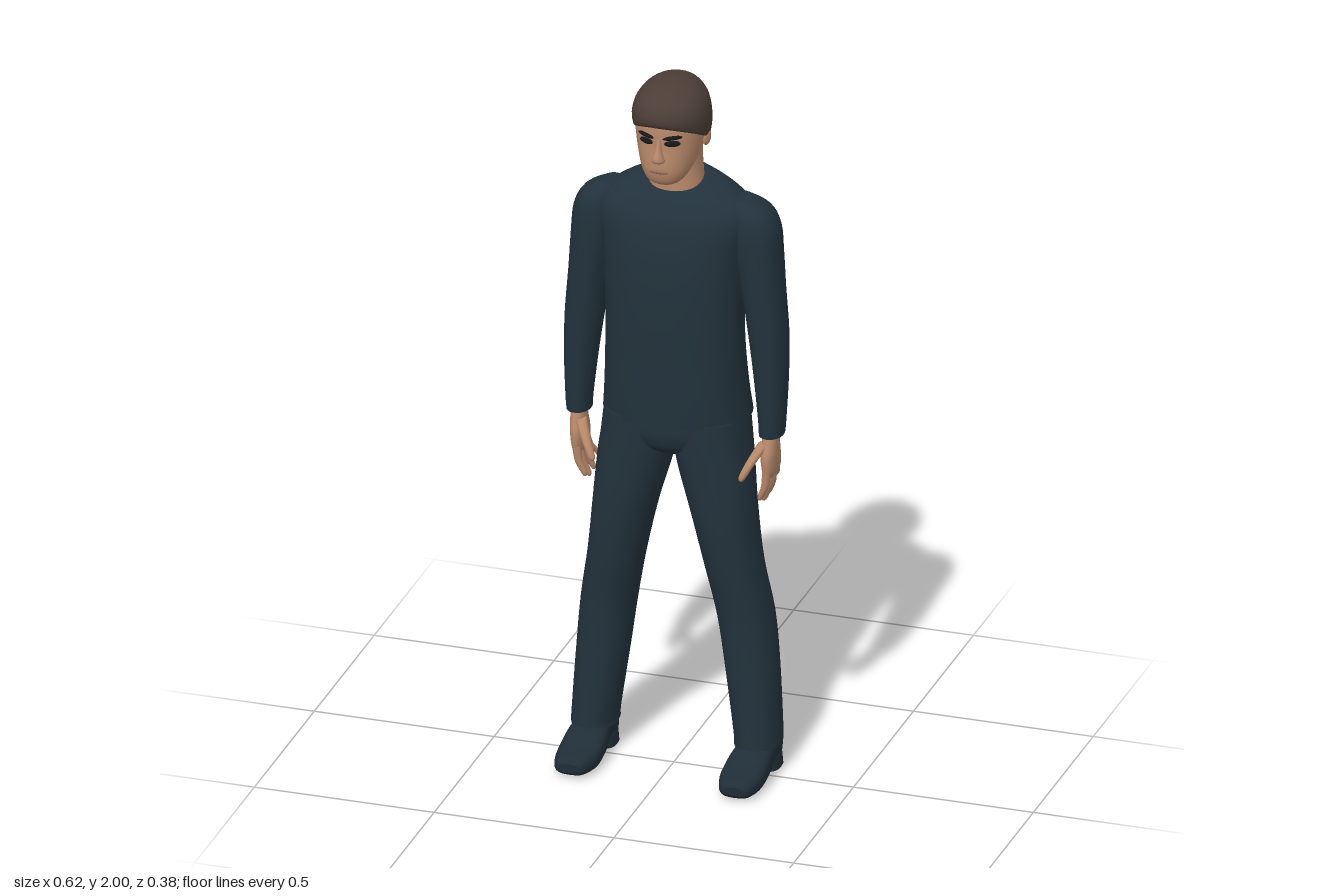
import * as THREE from 'three';

const material = (name, color) => Object.assign(new THREE.MeshStandardMaterial({ color }), { name });

// Smooth skin through cross-sections [t, a0, a1, b0, b1, tilt], with capped ends.
// axis 'y': a = x, b = z, sections run upward. axis 'z': a = x, b = y, sections run backward.
function loft(sections, { p = 2.2, sides = 28, steps = 4, axis = 'y' } = {}) {
  const rows = [];
  const at = (i) => sections[Math.max(0, Math.min(sections.length - 1, i))];
  for (let i = 0; i < sections.length - 1; i++) {
    for (let k = i ? 1 : 0; k <= steps; k++) {
      const u = k / steps;
      rows.push([0, 1, 2, 3, 4, 5].map((c) => {
        const [q0, q1, q2, q3] = [-1, 0, 1, 2].map((d) => at(i + d)[c] ?? 0);
        return q1 + 0.5 * u * (q2 - q0 + u * (2 * q0 - 5 * q1 + 4 * q2 - q3 + u * (3 * (q1 - q2) + q3 - q0)));
      }));
    }
  }
  const pos = [], index = [];
  const put = (a, b, t) => pos.push(...(axis === 'y' ? [a, t, b] : [a, b, t]));
  const bend = (v) => Math.sign(v) * Math.abs(v) ** (2 / p);
  const ring = ([t, a0, a1, b0, b1, tilt]) => {
    for (let j = 0; j < sides; j++) {
      const w = (j / sides) * Math.PI * 2;
      const a = (a0 + a1) / 2 + ((a1 - a0) / 2) * bend(Math.cos(w));
      const b = (b0 + b1) / 2 + ((b1 - b0) / 2) * bend(Math.sin(w));
      put(a, b, t + tilt * b);
    }
  };
  rows.forEach(ring);
  for (let i = 0; i < rows.length - 1; i++) {
    for (let j = 0; j < sides; j++) {
      const a = i * sides + j, b = i * sides + ((j + 1) % sides);
      index.push(a, a + sides, b, b, a + sides, b + sides);
    }
  }
  [rows[0], rows[rows.length - 1]].forEach((row, end) => {
    const start = pos.length / 3;
    ring(row);
    const mid = (row[3] + row[4]) / 2;
    put((row[1] + row[2]) / 2, mid, row[0] + row[5] * mid);
    for (let j = 0; j < sides; j++) {
      const a = start + j, b = start + ((j + 1) % sides), c = start + sides;
      index.push(...(end ? [a, c, b] : [a, b, c]));
    }
  });
  const g = new THREE.BufferGeometry();
  g.setAttribute('position', new THREE.Float32BufferAttribute(pos, 3));
  g.setIndex(index);
  g.computeVertexNormals();
  return g;
}

// Section helpers: centred on x, one side of the body, and a round stick
const centred = (list) => list.map(([t, h, b0, b1, tilt]) => [t, -h, h, b0, b1, tilt ?? 0]);
const onSide = (s, list) => list.map(([t, i, o, b0, b1]) => (s > 0 ? [t, i, o, b0, b1] : [t, -o, -i, b0, b1]));
const stick = (s, list) => loft(list.map(([x, y, z, r]) => [y, s * x - r, s * x + r, z - r, z + r]), { p: 2, sides: 10 });

export function createModel() {
  const cloth = material('dark cloth', 0x22323c);
  const leather = material('shoe leather', 0x202e37);
  const skin = material('skin', 0xb98a6b);
  const hair = material('hair', 0x4c3e37);
  const lip = material('lips', 0x9c6c58);
  const dark = material('eye shadow', 0x17181a);

  const model = new THREE.Group();
  model.name = 'standingMan';
  const add = (name, geometry, mat, parent = model) => {
    const mesh = new THREE.Mesh(geometry, mat);
    mesh.name = name;
    parent.add(mesh);
    return mesh;
  };
  const blob = (name, mat, [x, y, z], scale, turn = 0, roll = 0) => {
    const mesh = add(name, new THREE.SphereGeometry(1, 16, 12), mat);
    mesh.position.set(x, y, z);
    mesh.scale.set(...scale);
    mesh.rotation.set(0, turn, roll);
    return mesh;
  };

  // Sweater body, flared at the hem, with a sloping neckline
  add('sweaterBody', loft(centred([
    [1.02, 0.2, -0.185, 0.11], [1.1, 0.193, -0.168, 0.115], [1.2, 0.188, -0.15, 0.118],
    [1.3, 0.186, -0.145, 0.122], [1.42, 0.19, -0.152, 0.122], [1.52, 0.2, -0.158, 0.114],
    [1.6, 0.215, -0.152, 0.096], [1.645, 0.195, -0.138, 0.075], [1.675, 0.145, -0.122, 0.06, -0.1],
    [1.692, 0.085, -0.102, 0.05, -0.25],
  ]), { p: 2.3, sides: 40 }), cloth);

  // Trouser seat
  add('trouserSeat', loft(centred([
    [0.915, 0.07, -0.07, 0.04], [0.94, 0.16, -0.125, 0.075], [0.97, 0.193, -0.147, 0.09],
    [1.0, 0.196, -0.157, 0.095], [1.04, 0.19, -0.16, 0.095],
  ]), { sides: 36 }), cloth);

  // Neck and head
  add('neck', loft(centred([
    [1.63, 0.078, -0.092, 0.042], [1.7, 0.073, -0.092, 0.043], [1.75, 0.07, -0.09, 0.045], [1.81, 0.07, -0.085, 0.05],
  ])), skin);
  add('head', loft(centred([
    [1.722, 0.025, 0.045, 0.095], [1.735, 0.047, 0.02, 0.115], [1.76, 0.065, -0.025, 0.126],
    [1.79, 0.077, -0.065, 0.129], [1.84, 0.088, -0.085, 0.127], [1.89, 0.092, -0.092, 0.128],
    [1.94, 0.085, -0.085, 0.118], [1.975, 0.05, -0.05, 0.08],
  ])), skin);
  add('hairCap', loft(centred([
    [1.835, 0.085, -0.085, 0.126, 0.5], [1.842, 0.097, -0.102, 0.137, 0.48], [1.89, 0.103, -0.112, 0.14, 0.28],
    [1.94, 0.095, -0.106, 0.13, 0.1], [1.975, 0.072, -0.08, 0.106], [1.993, 0.04, -0.045, 0.07], [2.0, 0.008, 0.0, 0.02],
  ]), { p: 2.1, sides: 32 }), hair);

  // Face details
  add('nose', loft(centred([
    [1.798, 0.009, 0.115, 0.133], [1.806, 0.018, 0.11, 0.148], [1.818, 0.015, 0.11, 0.15],
    [1.84, 0.009, 0.11, 0.141], [1.868, 0.007, 0.11, 0.131],
  ]), { p: 2, sides: 14 }), skin);
  blob('mouth', lip, [0, 1.773, 0.127], [0.026, 0.006, 0.005]);
  for (const s of [1, -1]) {
    const side = s > 0 ? 'left' : 'right';
    blob(side + 'Eye', dark, [s * 0.036, 1.857, 0.12], [0.022, 0.009, 0.006], s * 0.4);
    blob(side + 'Brow', dark, [s * 0.037, 1.874, 0.121], [0.027, 0.006, 0.006], s * 0.4, s * 0.1);
    blob(side + 'Ear', skin, [s * 0.089, 1.835, -0.005], [0.01, 0.028, 0.017], s * -0.3);

    // Sleeve
    add(side + 'Sleeve', loft(onSide(s, [
      [0.99, 0.235, 0.3, -0.065, 0.03], [1.03, 0.233, 0.303, -0.068, 0.032], [1.15, 0.22, 0.308, -0.08, 0.035],
      [1.27, 0.204, 0.307, -0.093, 0.038], [1.4, 0.185, 0.297, -0.1, 0.042], [1.5, 0.165, 0.291, -0.105, 0.045],
      [1.58, 0.15, 0.284, -0.105, 0.044], [1.63, 0.15, 0.259, -0.092, 0.034], [1.663, 0.155, 0.205, -0.06, 0.01],
    ])), cloth);

    // Hand with four spread fingers and a thumb
    const hand = new THREE.Group();
    hand.name = side + 'Hand';
    model.add(hand);
    add('palm', loft(onSide(s, [
      [0.872, 0.25, 0.277, -0.066, 0.026], [0.89, 0.246, 0.284, -0.07, 0.032], [0.93, 0.243, 0.287, -0.062, 0.036],
      [0.97, 0.245, 0.288, -0.047, 0.026], [1.02, 0.247, 0.288, -0.045, 0.015],
    ]), { sides: 18 }), skin, hand);
    const fingers = [[0.02, 0.012, 0.803], [-0.005, -0.022, 0.788], [-0.032, -0.059, 0.792], [-0.057, -0.094, 0.818]];
    for (const [base, tip, y] of fingers) {
      add('finger', stick(s, [
        [0.243, y, tip, 0.004], [0.246, y + 0.012, tip, 0.009],
        [0.259, (y + 0.89) / 2, (base + tip) / 2, 0.011], [0.264, 0.89, base, 0.012],
      ]), skin, hand);
    }
    add('thumb', stick(s, [
      [0.207, 0.873, 0.06, 0.004], [0.21, 0.885, 0.059, 0.01], [0.228, 0.922, 0.045, 0.013], [0.255, 0.97, 0.012, 0.016],
    ]), skin, hand);

    // Trouser leg
    add(side + 'TrouserLeg', loft(onSide(s, [
      [0.085, 0.165, 0.288, -0.115, 0.055], [0.12, 0.163, 0.287, -0.115, 0.053], [0.3, 0.137, 0.277, -0.122, 0.047],
      [0.45, 0.115, 0.264, -0.121, 0.05], [0.6, 0.085, 0.239, -0.108, 0.07], [0.75, 0.05, 0.223, -0.113, 0.085],
      [0.88, 0.013, 0.212, -0.13, 0.09], [0.95, 0, 0.203, -0.145, 0.092], [1.03, 0, 0.194, -0.152, 0.093],
    ])), cloth);

    // Shoe, with a separate heel block
    add(side + 'Shoe', loft(onSide(s, [
      [0.19, 0.2, 0.258, 0.018, 0.042], [0.175, 0.184, 0.274, 0.006, 0.056], [0.12, 0.169, 0.285, 0, 0.066],
      [0.05, 0.17, 0.285, 0.003, 0.09], [-0.02, 0.18, 0.277, 0.016, 0.105], [-0.08, 0.179, 0.276, 0.016, 0.105],
      [-0.115, 0.195, 0.262, 0.02, 0.09],
    ]), { axis: 'z', p: 2.8, sides: 24 }), leather);
    add(side + 'ShoeHeel', loft(onSide(s, [
      [0, 0.178, 0.278, -0.112, -0.015], [0.035, 0.181, 0.275, -0.112, -0.01],
    ]), { p: 3, sides: 20, steps: 1 }), leather);
  }
  return model;
}
